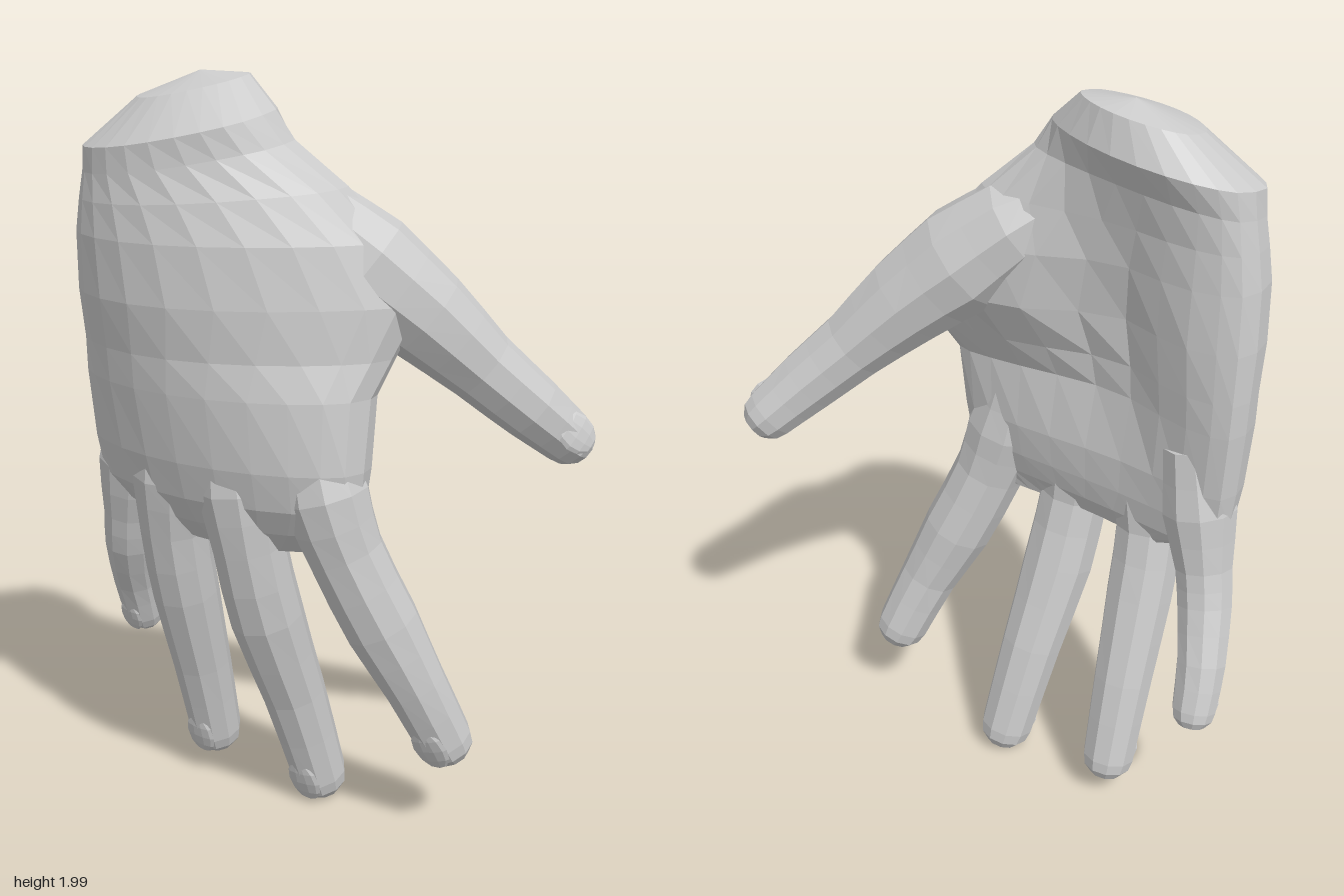
import * as THREE from 'three';

const skin = new THREE.MeshStandardMaterial({ color: 0xcccccc, flatShading: true });
const V = (x, y, z) => new THREE.Vector3(x, y, z);

// Closed skin through rings that all have the same number of points
function loft(rings, name) {
  const n = rings[0].length, index = [];
  for (let i = 0; i < rings.length - 1; i++) {
    for (let j = 0; j < n; j++) {
      const k = (j + 1) % n;
      const a = i * n + j, b = i * n + k, c = a + n, d = b + n;
      index.push(a, b, c, b, d, c);
    }
  }
  const geo = new THREE.BufferGeometry().setFromPoints(rings.flat());
  geo.setIndex(index);
  geo.computeVertexNormals();
  const mesh = new THREE.Mesh(geo, skin);
  mesh.name = name;
  return mesh;
}

// Tapered digit along [x, y, z, radius] stations, rounded at the tip,
// with a thin oval nail on its dorsal side
function digit(stations, dorsal, name, sides = 10) {
  const curve = new THREE.CatmullRomCurve3(stations.map(s => V(s[0], s[1], s[2])));
  const spans = stations.length - 1, steps = spans * 2, rings = [];
  const frame = t => {
    const N = dorsal.clone().addScaledVector(t, -dorsal.dot(t)).normalize();
    return [N.clone().cross(t), N];
  };
  const ring = (p, t, r) => {
    const [S, N] = frame(t);
    rings.push(Array.from({ length: sides }, (_, j) => {
      const a = (j + 0.5) / sides * Math.PI * 2;
      return p.clone().addScaledVector(S, r * Math.cos(a)).addScaledVector(N, r * Math.sin(a));
    }));
  };
  ring(curve.getPoint(0), curve.getTangent(0), 0.004);
  for (let i = 0; i <= steps; i++) {
    const u = i / steps, f = u * spans, k = Math.min(Math.floor(f), spans - 1);
    const r = THREE.MathUtils.lerp(stations[k][3], stations[k + 1][3], f - k);
    ring(curve.getPoint(u), curve.getTangent(u), r);
  }
  const end = curve.getPoint(1), t = curve.getTangent(1), r = stations[spans][3];
  for (const [along, size] of [[0.45, 0.9], [0.8, 0.6], [0.95, 0.01]]) {
    ring(end.clone().addScaledVector(t, along * r), t, size * r);
  }

  const [S, N] = frame(t);
  const nail = new THREE.Mesh(new THREE.SphereGeometry(1, 10, 6), skin);
  nail.name = name + 'Nail';
  nail.scale.set(r * 0.7, r * 0.85, r * 0.16);
  nail.quaternion.setFromRotationMatrix(new THREE.Matrix4().makeBasis(S, t.clone().negate(), N));
  nail.position.copy(end).addScaledVector(N, r * 0.88).addScaledVector(t, r * -0.25);

  const group = new THREE.Group();
  group.name = name;
  group.add(loft(rings, name + 'Flesh'), nail);
  return group;
}

// Value at f in 0..1 on the parabola through a, b, c
const bend = (a, b, c, f) => a * (1 - f) * (1 - 2 * f) + 4 * b * f * (1 - f) + c * f * (2 * f - 1);

// Wrist and palm, top to bottom:
// y, x range, mid depth (right, centre, left), half thickness (edges, centre)
const palmRows = [
  [1.98, -0.241, -0.239, 0.15, 0.15, 0.15, 0.001, 0.001],
  [1.95, -0.4, -0.09, 0.17, 0.18, 0.17, 0.09, 0.12],
  [1.86, -0.53, 0.01, 0.22, 0.22, 0.21, 0.145, 0.185],
  [1.79, -0.54, 0.05, 0.22, 0.245, 0.18, 0.13, 0.165],
  [1.7, -0.555, 0.16, 0.22, 0.26, 0.11, 0.135, 0.16],
  [1.6, -0.57, 0.26, 0.22, 0.27, 0.05, 0.14, 0.155],
  [1.45, -0.58, 0.33, 0.21, 0.28, 0, 0.14, 0.14],
  [1.32, -0.58, 0.295, 0.2, 0.28, 0.07, 0.13, 0.125],
  [1.23, -0.578, 0.277, 0.2, 0.28, 0.13, 0.135, 0.12],
  [1.05, -0.567, 0.28, 0.2, 0.26, 0.16, 0.125, 0.115],
  [0.95, -0.555, 0.27, 0.2, 0.245, 0.16, 0.105, 0.105],
  [0.88, -0.49, 0.22, 0.19, 0.23, 0.16, 0.075, 0.085],
  [0.82, -0.36, 0.14, 0.19, 0.22, 0.16, 0.045, 0.05],
  [0.8, -0.11, -0.1, 0.2, 0.2, 0.2, 0.001, 0.001],
];

// Fleshy pads on the palm side: x, y, x spread, y spread, height
const pads = [
  [0.04, 1.5, 0.17, 0.2, 0.1],
  [-0.42, 1.45, 0.13, 0.25, 0.055],
  [0.05, 1.05, 0.3, 0.12, 0.03],
];

function palm() {
  const sides = 24;
  return loft(palmRows.map(([y, x0, x1, za, zb, zc, te, tm]) =>
    Array.from({ length: sides }, (_, j) => {
      const a = j / sides * Math.PI * 2, s = Math.sin(a);
      const f = 0.5 + 0.5 * Math.cos(a), x = x0 + (x1 - x0) * f;
      const bulge = Math.sign(s) * Math.abs(s) ** 0.65;
      let z = bend(za, zb, zc, f) + bend(te, tm, te, f) * bulge;
      for (const [px, py, sx, sy, h] of pads) {
        z -= h * Math.max(0, -bulge) * Math.exp(-(((x - px) / sx) ** 2) - ((y - py) / sy) ** 2);
      }
      // The cut of the wrist slopes up toward the thumb and the palm side
      const tilt = THREE.MathUtils.smoothstep(y, 1.6, 1.86);
      return V(x, y + tilt * (0.12 * (x + 0.27) - 0.2 * (z - 0.23)), z);
    })), 'palm');
}

export function createModel() {
  const hand = new THREE.Group();
  hand.name = 'hand';
  hand.add(palm());

  const front = V(0, 0, 1);
  hand.add(digit([
    [0.13, 1.17, 0.18, 0.085], [0.175, 0.98, 0.175, 0.113], [0.215, 0.83, 0.145, 0.1],
    [0.285, 0.63, 0.08, 0.1], [0.35, 0.46, 0.02, 0.084], [0.4, 0.29, -0.05, 0.076],
  ], front, 'indexFinger'));
  hand.add(digit([
    [-0.06, 1.17, 0.26, 0.085], [-0.045, 0.98, 0.245, 0.115], [-0.03, 0.82, 0.23, 0.098],
    [-0.02, 0.61, 0.175, 0.1], [-0.005, 0.36, 0.08, 0.087], [0.018, 0.085, -0.005, 0.076],
  ], front, 'middleFinger'));
  hand.add(digit([
    [-0.26, 1.17, 0.27, 0.085], [-0.27, 0.98, 0.25, 0.113], [-0.288, 0.82, 0.235, 0.094],
    [-0.3, 0.62, 0.185, 0.092], [-0.315, 0.38, 0.11, 0.082], [-0.325, 0.14, 0.045, 0.073],
  ], front, 'ringFinger'));
  hand.add(digit([
    [-0.43, 1.15, 0.2, 0.08], [-0.463, 0.97, 0.2, 0.1], [-0.5, 0.81, 0.185, 0.077],
    [-0.525, 0.71, 0.165, 0.074], [-0.565, 0.57, 0.11, 0.066], [-0.583, 0.45, 0.065, 0.059],
  ], front, 'littleFinger'));

  hand.add(digit([
    [-0.04, 1.71, 0.15, 0.07], [0.06, 1.64, 0.09, 0.12], [0.18, 1.53, 0.02, 0.142],
    [0.3, 1.41, -0.07, 0.122], [0.41, 1.28, -0.165, 0.096], [0.505, 1.17, -0.255, 0.086],
    [0.57, 1.085, -0.335, 0.073],
  ], V(0.75, 0.3, 0.5), 'thumb'));

  return hand;
}
